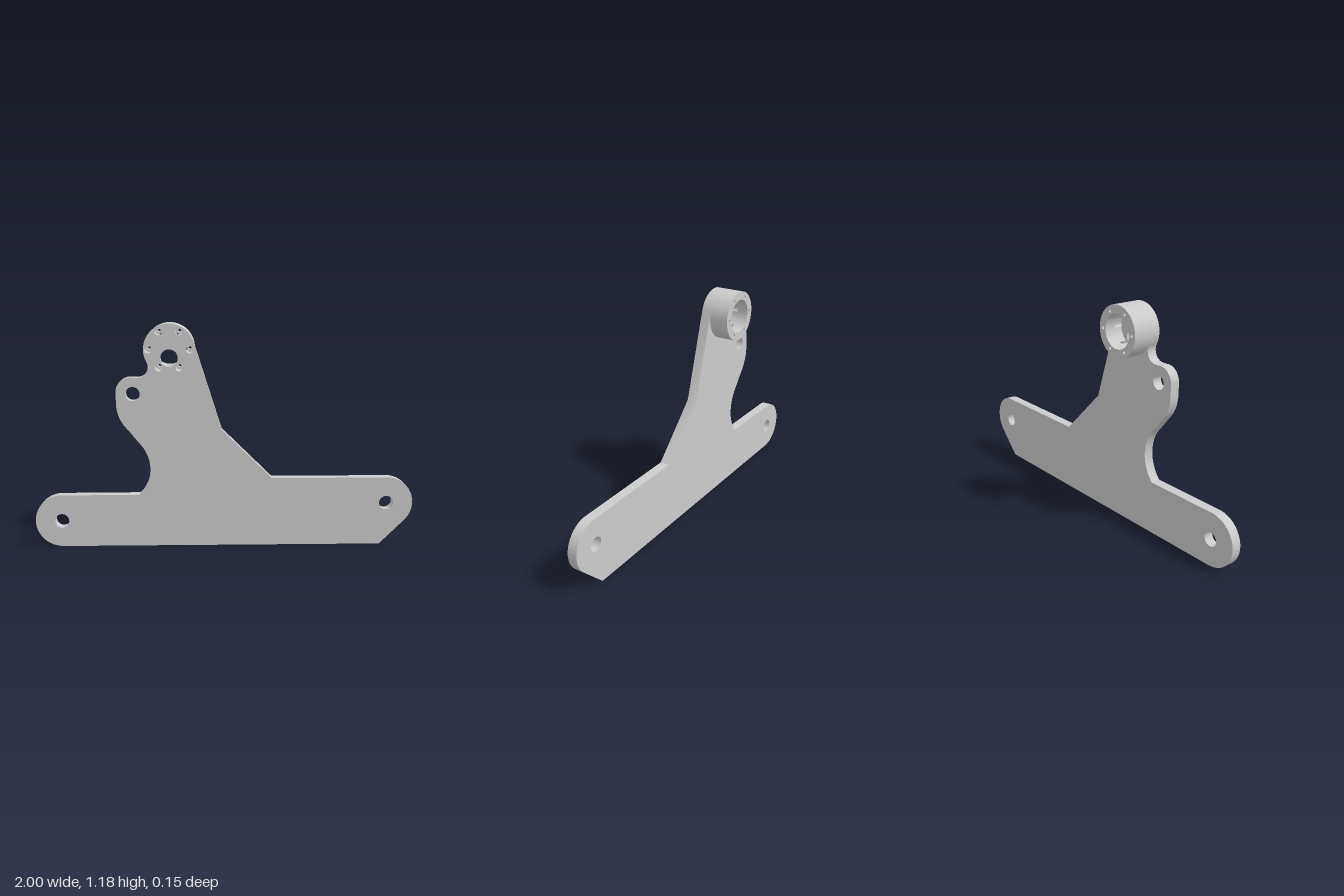
import * as THREE from 'three';
import { toCreasedNormals } from 'three/addons/utils/BufferGeometryUtils.js';

const PI = Math.PI, rad = THREE.MathUtils.degToRad;
const BX = -0.285, BY = 1.044, BR = 0.1315; // boss centre and radius
const BOLT_CIRCLE = 0.106, POCKET = 0.088;
const bolts = Array.from({ length: 6 }, (_, i) => {
  const a = i * PI / 3;
  return { a, x: BX + BOLT_CIRCLE * Math.cos(a), y: BY + BOLT_CIRCLE * Math.sin(a) };
});

const circle = (x, y, r, Type = THREE.Path) => new Type().absarc(x, y, r, 0, 2 * PI, false);

export function createModel() {
  const group = new THREE.Group();
  const material = new THREE.MeshStandardMaterial({ color: 0xcccccc });

  function addSlab(name, shape, z0, z1) {
    const geo = new THREE.ExtrudeGeometry(shape, { depth: z1 - z0, bevelEnabled: false, curveSegments: 32 });
    geo.translate(0, 0, z0);
    const mesh = new THREE.Mesh(toCreasedNormals(geo, rad(30)), material);
    mesh.name = name;
    group.add(mesh);
  }

  // Plate outline, counter-clockwise from the lower left
  const plate = new THREE.Shape();
  plate.moveTo(-0.861, 0);
  plate.lineTo(0.83, 0);
  plate.absarc(0.862, 0.228, 0.138, rad(-45), rad(90), false); // right end
  plate.lineTo(0.25, 0.366);
  plate.lineTo(-0.015, 0.627);
  plate.absarc(BX, BY, BR, rad(17.6), rad(208.5), false); // round head
  plate.absarc(-0.449, 0.955, 0.055, rad(28.5), rad(-90), true); // neck fillet
  plate.absarc(-0.487, 0.827, 0.074, rad(90), rad(180), false); // side lug
  plate.absarc(-0.361, 0.77, 0.2, rad(180), rad(225), false);
  plate.absarc(-0.59, 0.42, 0.2, rad(45), rad(-44.4), true); // inner curve
  plate.absarc(-0.861, 0.14, 0.139, rad(90), rad(270), false); // left end
  plate.holes.push(
    circle(-0.861, 0.14, 0.037),
    circle(0.86, 0.228, 0.037),
    circle(-0.475, 0.816, 0.037),
    circle(BX, 1.0, 0.045), // offset shaft hole
    ...bolts.map(b => circle(b.x, b.y, 0.02))
  );
  addSlab('plate', plate, 0.025, 0.077);

  // Boss section where the screw counterbores break into the pocket
  const collar = circle(BX, BY, BR, THREE.Shape);
  const scalloped = new THREE.Path();
  for (const b of bolts) {
    scalloped.absarc(BX, BY, POCKET, b.a - PI / 3 + 0.091, b.a - 0.091, false);
    scalloped.absarc(b.x, b.y, 0.02, b.a + PI + 0.41, b.a + 3 * PI - 0.41, false);
  }
  scalloped.closePath();
  collar.holes.push(scalloped);
  addSlab('bossCollar', collar, -0.015, 0.025);

  // Rear boss ring with the narrow screw holes
  const ring = circle(BX, BY, BR, THREE.Shape);
  ring.holes.push(circle(BX, BY, POCKET), ...bolts.map(b => circle(b.x, b.y, 0.008)));
  addSlab('bossRing', ring, -0.077, -0.015);

  return group;
}
